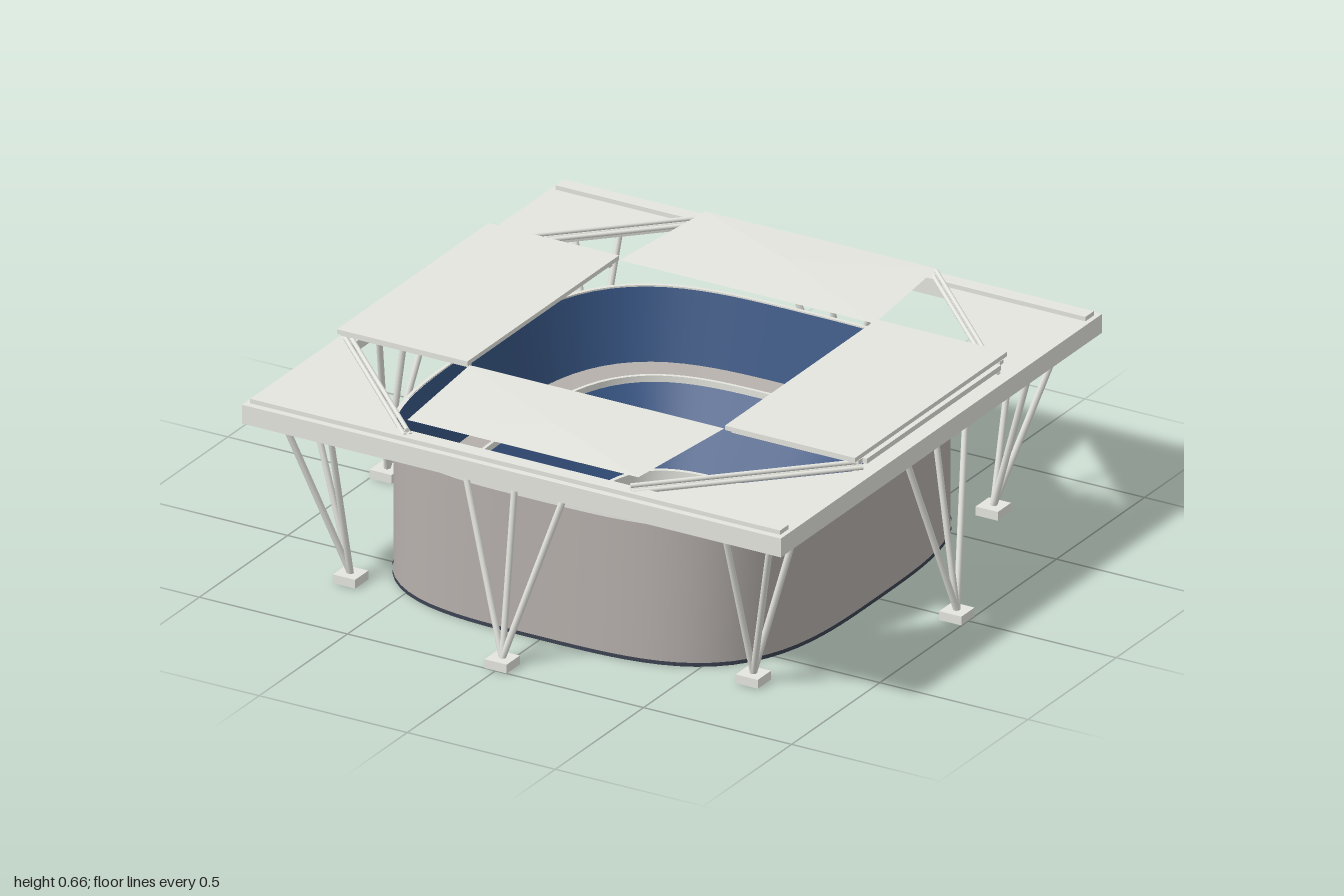
import * as THREE from 'three';

const mat = (name, color) => {
  const m = new THREE.MeshStandardMaterial({ color, side: THREE.DoubleSide });
  m.name = name;
  return m;
};

export function createModel() {
  const roofGray = mat('roof gray', 0xe6e6e0);
  const wallGray = mat('concrete gray', 0xb6b0ac);
  const seatBlue = mat('seat blue', 0x35527f);
  const baseNavy = mat('base navy', 0x3c4352);
  const courtGreen = mat('court green', 0x86b298);
  const courtBlue = mat('court blue', 0x85a4cc);
  const lineWhite = mat('line white', 0xf6f6f2);
  const model = new THREE.Group();

  const add = (name, geometry, material, x = 0, y = 0, z = 0) => {
    const mesh = new THREE.Mesh(geometry, material);
    mesh.name = name;
    mesh.position.set(x, y, z);
    model.add(mesh);
    return mesh;
  };
  const box = (name, material, w, h, d, x, y, z) =>
    add(name, new THREE.BoxGeometry(w, h, d), material, x, y, z);

  // Rounded-square rings: each ring is [half width, half depth, height, squareness]
  const SEG = 96;
  const loft = (name, material, rings) => {
    for (let r = 0; r < rings.length - 1; r++) {
      const pos = [], index = [];
      for (const [a, b, y, n] of [rings[r], rings[r + 1]]) {
        for (let i = 0; i <= SEG; i++) {
          const t = (i / SEG) * Math.PI * 2, c = Math.cos(t), s = Math.sin(t);
          const k = Math.pow(Math.abs(c) ** n + Math.abs(s) ** n, -1 / n);
          pos.push(a * c * k, y, b * s * k);
        }
      }
      for (let i = 0; i < SEG; i++) {
        const j = i + SEG + 1;
        index.push(i, j, i + 1, i + 1, j, j + 1);
      }
      const g = new THREE.BufferGeometry();
      g.setAttribute('position', new THREE.Float32BufferAttribute(pos, 3));
      g.setIndex(index);
      g.computeVertexNormals();
      add(name, g, material);
    }
  };

  // Outer wall, base strip and top rim
  loft('outerWall', wallGray, [[0.697, 0.747, 0, 3.4], [0.697, 0.747, 0.447, 3.4]]);
  loft('baseStrip', baseNavy, [[0.7, 0.75, 0, 3.4], [0.7, 0.75, 0.012, 3.4]]);
  loft('wallRim', roofGray, [[0.692, 0.742, 0.445, 3.4], [0.703, 0.753, 0.445, 3.4],
    [0.703, 0.753, 0.46, 3.4], [0.692, 0.742, 0.46, 3.4]]);

  // Seating bowl: steep upper tier, wide walkway, smaller lower tier
  loft('upperSeats', seatBlue, [[0.692, 0.742, 0.455, 3.4], [0.625, 0.675, 0.25, 3.4]]);
  loft('walkway', wallGray, [[0.625, 0.675, 0.25, 3.4], [0.55, 0.6, 0.245, 3.4]]);
  loft('walkwayRail', roofGray, [[0.55, 0.6, 0.25, 3.4], [0.54, 0.59, 0.25, 3.4], [0.54, 0.59, 0.23, 3.4]]);
  loft('lowerSeats', seatBlue, [[0.54, 0.59, 0.23, 3.4], [0.35, 0.395, 0.05, 3.8]]);
  loft('fieldRail', roofGray, [[0.35, 0.395, 0.004, 3.8], [0.35, 0.395, 0.05, 3.8],
    [0.337, 0.383, 0.05, 3.8], [0.337, 0.383, 0.004, 3.8]]);

  // Playing floor and court
  loft('floor', wallGray, [[0.345, 0.39, 0.004, 3.8], [0.001, 0.001, 0.004, 3.8]]);
  box('courtSurround', courtGreen, 0.38, 0.005, 0.41, 0, 0.0045, 0);
  box('court', courtBlue, 0.245, 0.003, 0.32, 0.003, 0.0075, 0);
  for (const x of [-0.047, 0.047]) box('courtLine', lineWhite, 0.006, 0.002, 0.26, x, 0.0095, 0);

  // Roof deck with an eight-sided opening, and the edge beam below it
  const square = (s) => [[-s, -s], [s, -s], [s, s], [-s, s]].map(([x, y]) => new THREE.Vector2(x, y));
  const slab = (name, hole, y, depth) => {
    const shape = new THREE.Shape(square(0.91));
    shape.holes.push(new THREE.Path(hole));
    const g = new THREE.ExtrudeGeometry(shape, { depth, bevelEnabled: false });
    g.rotateX(-Math.PI / 2);
    add(name, g, roofGray, 0, y, 0);
  };
  const octagon = [[0.85, 0.4], [0.4, 0.85], [-0.4, 0.85], [-0.85, 0.4],
    [-0.85, -0.4], [-0.4, -0.85], [0.4, -0.85], [0.85, -0.4]].map(([x, y]) => new THREE.Vector2(x, y));
  slab('roofDeck', octagon, 0.59, 0.01);
  slab('edgeBeam', square(0.88), 0.54, 0.05);

  const rod = (name, from, to, radius) => {
    const a = new THREE.Vector3(...from), b = new THREE.Vector3(...to);
    const m = add(name, new THREE.CylinderGeometry(radius, radius, a.distanceTo(b), 10), roofGray);
    m.position.copy(a).add(b).multiplyScalar(0.5);
    m.quaternion.setFromUnitVectors(new THREE.Vector3(0, 1, 0), b.sub(a).normalize());
  };

  // Diagonal trusses across the roof corners
  for (const sx of [-1, 1]) for (const sz of [-1, 1]) {
    for (const [o, y] of [[0.003, 0.611], [-0.009, 0.611], [-0.003, 0.627]])
      rod('cornerTruss', [sx * (0.38 + o), y, sz * (0.87 + o)], [sx * (0.87 + o), y, sz * (0.38 + o)], 0.007);
  }

  // Sliding panels: thin, slightly peaked ones front and back, flat plates left and right
  for (const s of [-1, 1]) {
    box('slideRail', roofGray, 1.79, 0.016, 0.048, 0, 0.606, s * 0.865);
    const pts = [-0.39, 0.648, 0.845, 0.39, 0.648, 0.845, 0.43, 0.648, 0.425, -0.43, 0.648, 0.425, 0, 0.654, 0.66];
    const g = new THREE.BufferGeometry();
    g.setAttribute('position', new THREE.Float32BufferAttribute(pts.map((v, i) => (i % 3 === 2 ? v * s : v)), 3));
    const fan = [0, 1, 4, 1, 2, 4, 2, 3, 4, 3, 0, 4];
    g.setIndex(s > 0 ? fan : fan.reverse());
    const flat = g.toNonIndexed();
    flat.computeVertexNormals();
    add('thinSlidingPanel', flat, roofGray);
    box('slidingPanel', roofGray, 0.44, 0.014, 0.86, s * 0.655, 0.653, 0);
    box('panelRail', roofGray, 0.02, 0.016, 0.76, s * 0.875, 0.632, 0);
    for (const t of [-1, 1]) box('panelBearer', roofGray, 0.43, 0.012, 0.02, s * 0.66, 0.638, t * 0.4);
  }

  // Footings with three splayed legs each: middle of each side, then corners
  const foot = (x, z, tops) => {
    box('footing', roofGray, 0.075, 0.028, 0.075, x, 0.014, z);
    for (const [tx, tz] of tops) rod('leg', [x, 0.025, z], [tx, 0.56, tz], 0.01);
  };
  for (const s of [-1, 1]) {
    foot(0, s * 0.962, [-0.17, 0, 0.17].map((o) => [o, s * 0.89]));
    foot(s * 0.962, 0, [-0.17, 0, 0.17].map((o) => [s * 0.89, o]));
    for (const t of [-1, 1])
      foot(s * 0.68, t * 0.68, [[s * 0.83, t * 0.665], [s * 0.83, t * 0.83], [s * 0.665, t * 0.83]]);
  }
  return model;
}
